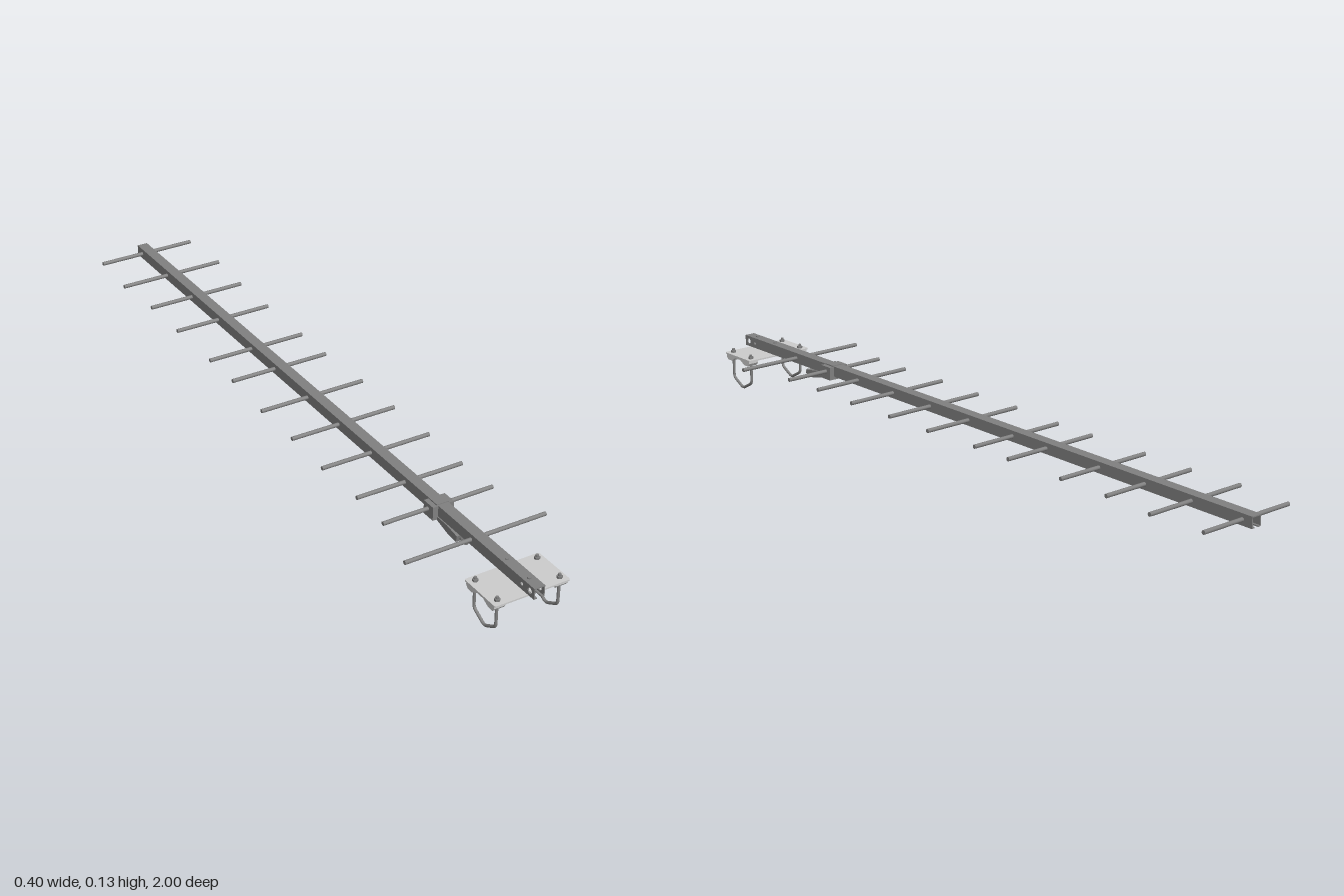
import * as THREE from 'three';

const dark = new THREE.MeshStandardMaterial({ color: 0x808080 });
const light = new THREE.MeshStandardMaterial({ color: 0xcccccc });

function add(parent, name, geometry, material, x = 0, y = 0, z = 0) {
  const mesh = new THREE.Mesh(geometry, material);
  mesh.name = name;
  mesh.position.set(x, y, z);
  parent.add(mesh);
  return mesh;
}

// Side profile given as (z, y) points, extruded across x and centred on x = 0
function sideExtrude(points, width, holes = []) {
  const shape = new THREE.Shape(points.map(([z, y]) => new THREE.Vector2(z, y)));
  for (const [z, y, r] of holes) {
    const hole = new THREE.Path();
    hole.absarc(z, y, r, 0, Math.PI * 2, true);
    shape.holes.push(hole);
  }
  const g = new THREE.ExtrudeGeometry(shape, { depth: width, bevelEnabled: false, curveSegments: 8 });
  return g.translate(0, 0, -width / 2).rotateY(-Math.PI / 2);
}

function box(w, h, d) {
  return new THREE.BoxGeometry(w, h, d);
}

export function createModel() {
  const model = new THREE.Group();
  model.name = 'directionalAntenna';

  // Boom: channel with a slot along the underside and drilled front end
  const boom = new THREE.Group();
  boom.name = 'boom';
  model.add(boom);
  const wall = 0.003, top = 0.13, bottom = 0.1, half = 0.015;
  add(boom, 'boomTop', box(half * 2, wall, 2), dark, 0, top - wall / 2, 0);
  for (const s of [-1, 1]) {
    const side = sideExtrude(
      [[-1, bottom], [1, bottom], [1, top - wall], [-1, top - wall]], wall,
      [[0.983, 0.115, 0.008], [0.952, 0.115, 0.005]]);
    add(boom, 'boomSide', side, dark, s * (half - wall / 2));
    add(boom, 'boomLip', box(0.006, wall, 2), dark, s * (half - wall - 0.003), bottom + wall / 2, 0);
  }

  // Cross rods: [z, half length]
  const rods = [
    [-0.97, 0.143], [-0.81, 0.153], [-0.657, 0.143], [-0.5, 0.143], [-0.31, 0.143], [-0.183, 0.143],
    [-0.01, 0.153], [0.147, 0.153], [0.304, 0.158], [0.46, 0.153], [0.586, 0.158], [0.747, 0.2],
  ];
  for (const [z, h] of rods) {
    const rod = add(model, 'crossRod', new THREE.CylinderGeometry(0.0055, 0.0055, h * 2, 12), dark, 0, 0.115, z);
    rod.rotation.z = Math.PI / 2;
  }

  // Feed housing around the driven rod, with a sloping cable outlet
  const feed = new THREE.Group();
  feed.name = 'feedHousing';
  model.add(feed);
  for (const s of [-1, 1]) {
    add(feed, 'housingCheek', box(0.015, 0.036, 0.04), dark, s * 0.0225, 0.111, 0.588);
  }
  add(feed, 'housingBridge', box(0.034, 0.003, 0.034), dark, 0, 0.1305, 0.588);
  add(feed, 'housingBase', box(0.06, 0.008, 0.04), dark, 0, 0.096, 0.588);
  add(feed, 'cableOutlet', sideExtrude(
    [[0.575, 0.1], [0.575, 0.092], [0.61, 0.09], [0.66, 0.077], [0.69, 0.075], [0.694, 0.093], [0.65, 0.1]],
    0.036), dark);
  const connector = add(feed, 'connector', new THREE.CylinderGeometry(0.0085, 0.0085, 0.03, 16), dark, 0, 0.083, 0.697);
  connector.rotation.x = Math.PI / 2 + 0.15;
  const collar = add(feed, 'connectorCollar', new THREE.TorusGeometry(0.0085, 0.002, 6, 16), dark, 0, 0.083, 0.698);
  collar.rotation.x = 0.15;

  // Mounting plate
  const mount = new THREE.Group();
  mount.name = 'mount';
  model.add(mount);
  const mid = 0.915, legZ = 0.044, boltX = 0.087;
  const plate = new THREE.Shape();
  const px = 0.105, pz = 0.062, c = 0.006;
  plate.moveTo(-px + c, -pz);
  plate.lineTo(px - c, -pz);
  plate.quadraticCurveTo(px, -pz, px, -pz + c);
  plate.lineTo(px, pz - c);
  plate.quadraticCurveTo(px, pz, px - c, pz);
  plate.lineTo(-px + c, pz);
  plate.quadraticCurveTo(-px, pz, -px, pz - c);
  plate.lineTo(-px, -pz + c);
  plate.quadraticCurveTo(-px, -pz, -px + c, -pz);
  const plateGeo = new THREE.ExtrudeGeometry(plate, { depth: 0.004, bevelEnabled: false, curveSegments: 4 });
  add(mount, 'mountingPlate', plateGeo.rotateX(-Math.PI / 2), light, 0, 0.0955, mid);
  for (const s of [-1, 1]) {
    add(mount, 'boomScrew', new THREE.CylinderGeometry(0.005, 0.005, 0.004, 12), dark, 0, 0.131, mid + s * legZ);
  }

  // V-bottomed U-bolts, notched saddles and nuts
  const path = new THREE.CurvePath();
  const P = (y, z) => new THREE.Vector3(0, y, z);
  const line = (a, b) => path.add(new THREE.LineCurve3(a, b));
  const bend = (a, b, d) => path.add(new THREE.QuadraticBezierCurve3(a, b, d));
  line(P(0.111, -legZ), P(0.036, -legZ));
  bend(P(0.036, -legZ), P(0.026, -legZ), P(0.021, -0.036));
  line(P(0.021, -0.036), P(0.007, -0.01));
  bend(P(0.007, -0.01), P(0.001, 0), P(0.007, 0.01));
  line(P(0.007, 0.01), P(0.021, 0.036));
  bend(P(0.021, 0.036), P(0.026, legZ), P(0.036, legZ));
  line(P(0.036, legZ), P(0.111, legZ));
  const boltGeo = new THREE.TubeGeometry(path, 90, 0.004, 10);
  const saddleGeo = sideExtrude([
    [-0.056, 0.0955], [-0.056, 0.088], [-0.05, 0.08], [-0.032, 0.08], [-0.012, 0.091],
    [0.012, 0.091], [0.032, 0.08], [0.05, 0.08], [0.056, 0.088], [0.056, 0.0955]], 0.032);
  const nutGeo = new THREE.CylinderGeometry(0.0075, 0.0075, 0.006, 6).toNonIndexed();
  nutGeo.computeVertexNormals();
  for (const s of [-1, 1]) {
    add(mount, 'uBolt', boltGeo, dark, s * boltX, 0, mid);
    add(mount, 'saddle', saddleGeo, light, s * boltX, 0, mid);
    for (const e of [-1, 1]) {
      add(mount, 'nut', nutGeo, dark, s * boltX, 0.1025, mid + e * legZ);
      add(mount, 'boltEnd', new THREE.CircleGeometry(0.004, 10).rotateX(-Math.PI / 2), dark, s * boltX, 0.111, mid + e * legZ);
    }
  }

  return model;
}
